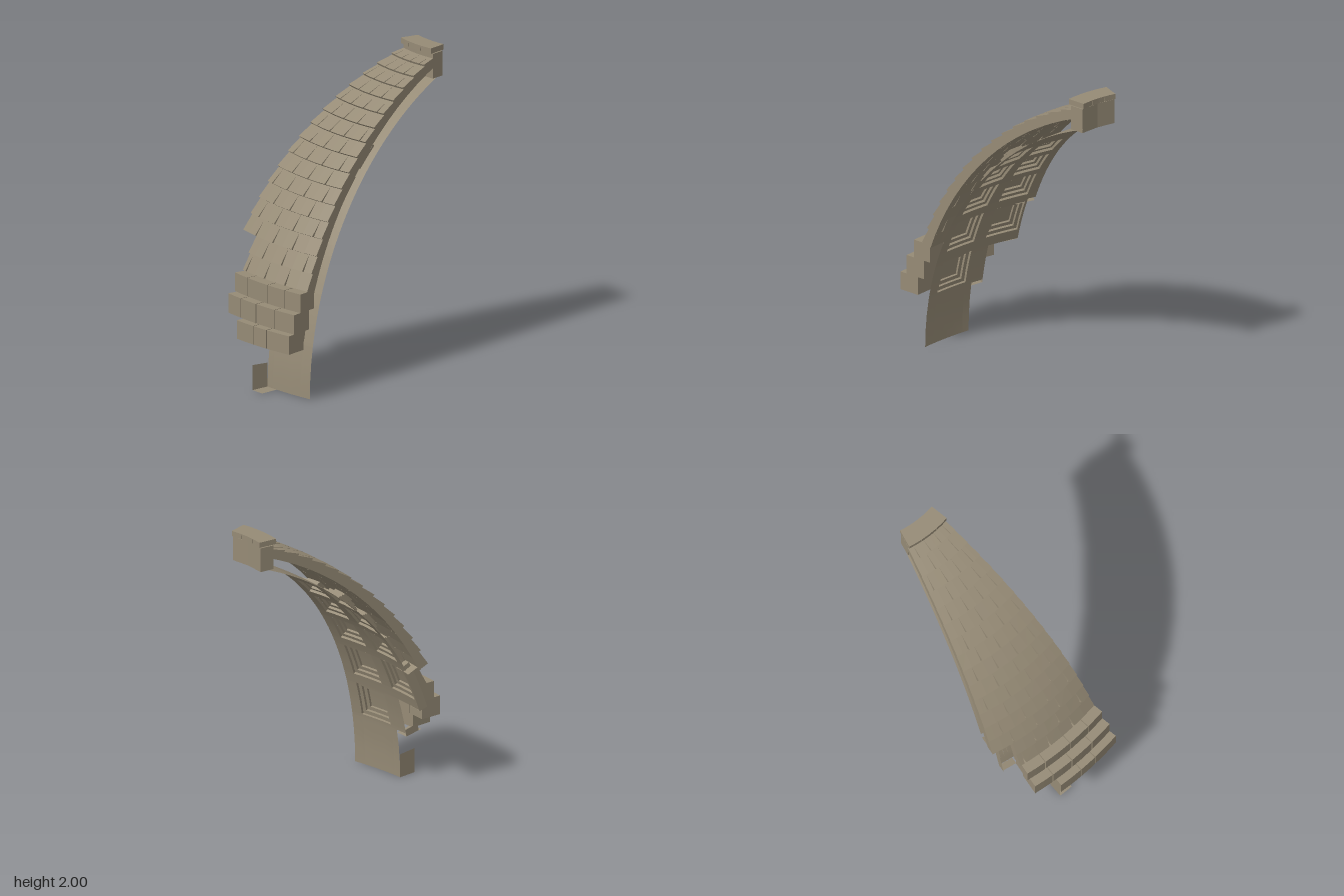
import * as THREE from 'three';
import { mergeGeometries } from 'three/addons/utils/BufferGeometryUtils.js';

const CX = -0.03, CZ = -1.39, HALF = 11.1, INNER = 1.94;
const rad = THREE.MathUtils.degToRad;

// Cylindrical point about the dome axis; angle in degrees
const cyl = (a, r, y) => [CX + r * Math.sin(rad(a)), y, CZ + r * Math.cos(rad(a))];
// Spherical point about the dome centre; a = azimuth, e = elevation
const sph = (a, e, R) => cyl(a, R * Math.cos(rad(e)), R * Math.sin(rad(e)));
const lerp = THREE.MathUtils.lerp;

// Surface grid from a function of (u, v)
function grid(fn, nu = 3, nv = 3) {
  const pos = [], idx = [];
  for (let j = 0; j <= nv; j++) for (let i = 0; i <= nu; i++) pos.push(...fn(i / nu, j / nv));
  for (let j = 0; j < nv; j++) for (let i = 0; i < nu; i++) {
    const a = j * (nu + 1) + i, c = a + nu + 1;
    idx.push(a, a + 1, c + 1, a, c + 1, c);
  }
  const g = new THREE.BufferGeometry();
  g.setAttribute('position', new THREE.Float32BufferAttribute(pos, 3));
  g.setIndex(idx);
  g.computeVertexNormals();
  return g;
}

// Piece of a sphere
const patch = (a0, a1, e0, e1, R) => grid((u, v) => sph(lerp(a0, a1, u), lerp(e0, e1, v), R));
// Wall along a meridian and shelf along a parallel, between two radii
const meridianWall = (a, e0, e1, R0, R1) => grid((u, v) => sph(a, lerp(e0, e1, v), lerp(R0, R1, u)));
const parallelWall = (a0, a1, e, R0, R1) => grid((u, v) => sph(lerp(a0, a1, u), e, lerp(R0, R1, v)));

// Curved stone: section [outer low, outer high, inner high, inner low] as [r, y];
// taper narrows the lower edge so joints open downwards
function stone(a0, a1, section, taperL = 0, taperR = 0) {
  const n = 2, pos = [], idx = [];
  for (let i = 0; i <= n; i++) section.forEach(([r, y], k) => {
    const low = k === 0 || k === 3;
    pos.push(...cyl(lerp(a0 + (low ? taperL : 0), a1 - (low ? taperR : 0), i / n), r, y));
  });
  for (let i = 0; i < n; i++) for (let k = 0; k < 4; k++) {
    const a = i * 4 + k, b = i * 4 + (k + 1) % 4;
    idx.push(a, a + 4, b + 4, a, b + 4, b);
  }
  const e = n * 4;
  idx.push(0, 1, 2, 0, 2, 3, e, e + 2, e + 1, e, e + 3, e + 2);
  const g = new THREE.BufferGeometry();
  g.setAttribute('position', new THREE.Float32BufferAttribute(pos, 3));
  g.setIndex(idx);
  const flat = g.toNonIndexed();
  flat.computeVertexNormals();
  return flat;
}

const boxSection = (r0, r1, y0, y1) => [[r1, y0], [r1, y1], [r0, y1], [r0, y0]];

// A course of stones divided at the given joint angles
function course(a0, a1, joints, section, gap, tapered) {
  const cuts = [a0, ...joints.filter((j) => j > a0 + 0.8 && j < a1 - 0.8), a1];
  return cuts.slice(1).map((end, i) => {
    const gl = i > 0 ? gap : 0, gr = i < cuts.length - 2 ? gap : 0;
    return tapered ? stone(cuts[i], end, section, gl, gr) : stone(cuts[i] + gl, end - gr, section);
  });
}

export function createModel() {
  const model = new THREE.Group();
  model.name = 'domeSegment';
  const material = new THREE.MeshStandardMaterial({ color: 0x968b76, side: THREE.DoubleSide });
  material.name = 'weatheredStone';
  const add = (name, parts) => {
    const mesh = new THREE.Mesh(mergeGeometries(parts), material);
    mesh.name = name;
    model.add(mesh);
  };

  // Outer covering of overlapping courses
  const tiles = [], pitch = 3.1;
  for (let k = 0; k < 16; k++) {
    const e0 = 19.7 + k * pitch, e1 = Math.min(e0 + pitch, 68.6);
    const p = (e, R) => [R * Math.cos(rad(e)), R * Math.sin(rad(e))];
    const section = [p(e0, 2.088), p(e1, 2.074), p(e1, 2.016), p(e0, 2.016)];
    const shift = (k % 2) * 2.8 + 0.8 * Math.sin(k * 2.3);
    const joints = [-11.2, -5.6, 0, 5.6].map((j) => j + shift);
    tiles.push(...course(k < 2 ? -6.7 : -HALF, HALF, joints, section, 0.2, true));
  }
  add('roofCourses', tiles);

  // Stepped rings at the foot of the roof
  const rings = [
    [1.90, 2.03, 0.58, 0.70, -6.4, [-2.6, 3.0, 7.4]],
    [1.95, 2.09, 0.455, 0.58, -5.9, [-2.2, 1.95, 6.6]],
    [2.00, 2.14, 0.335, 0.455, -1.5, [2.8, 6.0]],
  ];
  add('steppedRings', rings.flatMap(([r0, r1, y0, y1, a0, joints]) =>
    course(a0, HALF, joints, boxSection(r0, r1, y0, y1), 0.08, false)));

  // Crown ring and its cap stones
  add('crownRing', [stone(-HALF, HALF, boxSection(0.665, 0.757, 1.80, 1.96))]);
  add('crownCap', course(-HALF, HALF, [-4.4, 4.4], boxSection(0.655, 0.776, 1.965, 2), 0.3, true));

  // Inner shell with openings for the coffers and a broken left edge
  const coffers = [[10.4, 17.4], [19.6, 26.8], [28.9, 35.2], [36.8, 42.4], [44.2, 49.4]];
  const leftLimit = (e) => (e < 9.8 ? 0 : e < 17.4 ? -2.6 : e < 27.5 ? -9.3 : -HALF);
  const hasCoffer = (a, e) => Math.abs(a) > 1.5 && Math.abs(a) < 8.8 && (a > 0 || e > 18) &&
    coffers.some(([e0, e1]) => e > e0 && e < e1);
  const azimuths = [-HALF, -9.3, -8.8, -2.6, -1.5, 0, 1.5, 8.8, HALF];
  const levels = [0, 9.8, ...coffers.slice(0, 2).flat(), 27.5, ...coffers.slice(2).flat(), 56, 63, 70];
  const shell = [];
  for (let j = 0; j < levels.length - 1; j++) for (let i = 0; i < azimuths.length - 1; i++) {
    const [a0, a1, e0, e1] = [azimuths[i], azimuths[i + 1], levels[j], levels[j + 1]];
    const a = (a0 + a1) / 2, e = (e0 + e1) / 2;
    if (a > leftLimit(e) && !hasCoffer(a, e)) shell.push(patch(a0, a1, e0, e1, INNER));
  }
  add('innerShell', shell);

  // Coffers stepping back in three tiers
  const sunk = [];
  for (const side of [-1, 1]) coffers.forEach(([e0, e1], row) => {
    if (side < 0 && row === 0) return;
    let a0 = side > 0 ? 1.5 : -8.8, a1 = a0 + 7.3, R = INNER;
    for (const [depth, inset] of [[0.016, 0.75], [0.016, 0.75], [0.014, 0]]) {
      const S = R + depth;
      sunk.push(meridianWall(a0, e0, e1, R, S), meridianWall(a1, e0, e1, R, S),
        parallelWall(a0, a1, e0, R, S), parallelWall(a0, a1, e1, R, S));
      if (inset) {
        const [b0, b1, f0, f1] = [a0 + inset, a1 - inset, e0 + inset, e1 - inset];
        sunk.push(patch(a0, a1, e0, f0, S), patch(a0, a1, f1, e1, S),
          patch(a0, b0, f0, f1, S), patch(b1, a1, f0, f1, S));
        [a0, a1, e0, e1] = [b0, b1, f0, f1];
      } else sunk.push(patch(a0, a1, e0, e1, S));
      R = S;
    }
  });
  add('coffers', sunk);

  // Exposed returns along the broken edge
  add('brokenEdge', [
    meridianWall(-9.3, 17.2, 27.5, INNER, 2.0),
    parallelWall(-9.3, -6.4, 17.3, INNER, 1.99),
    parallelWall(-HALF, -6.7, 26.6, INNER, 2.03),
    meridianWall(-2.6, 9.2, 10.6, INNER, 2.04),
    parallelWall(-2.6, 0, 9.2, INNER, 2.06),
  ]);

  // Foot of the wall: a short return and its bed
  add('footReturn', [
    grid((u, v) => cyl(0, lerp(INNER, 2.06, u), v * lerp(0.155, 0.162, u))),
    grid((u, v) => cyl(u * 2.6, lerp(2.06, INNER, v), 0)),
  ]);
  return model;
}
